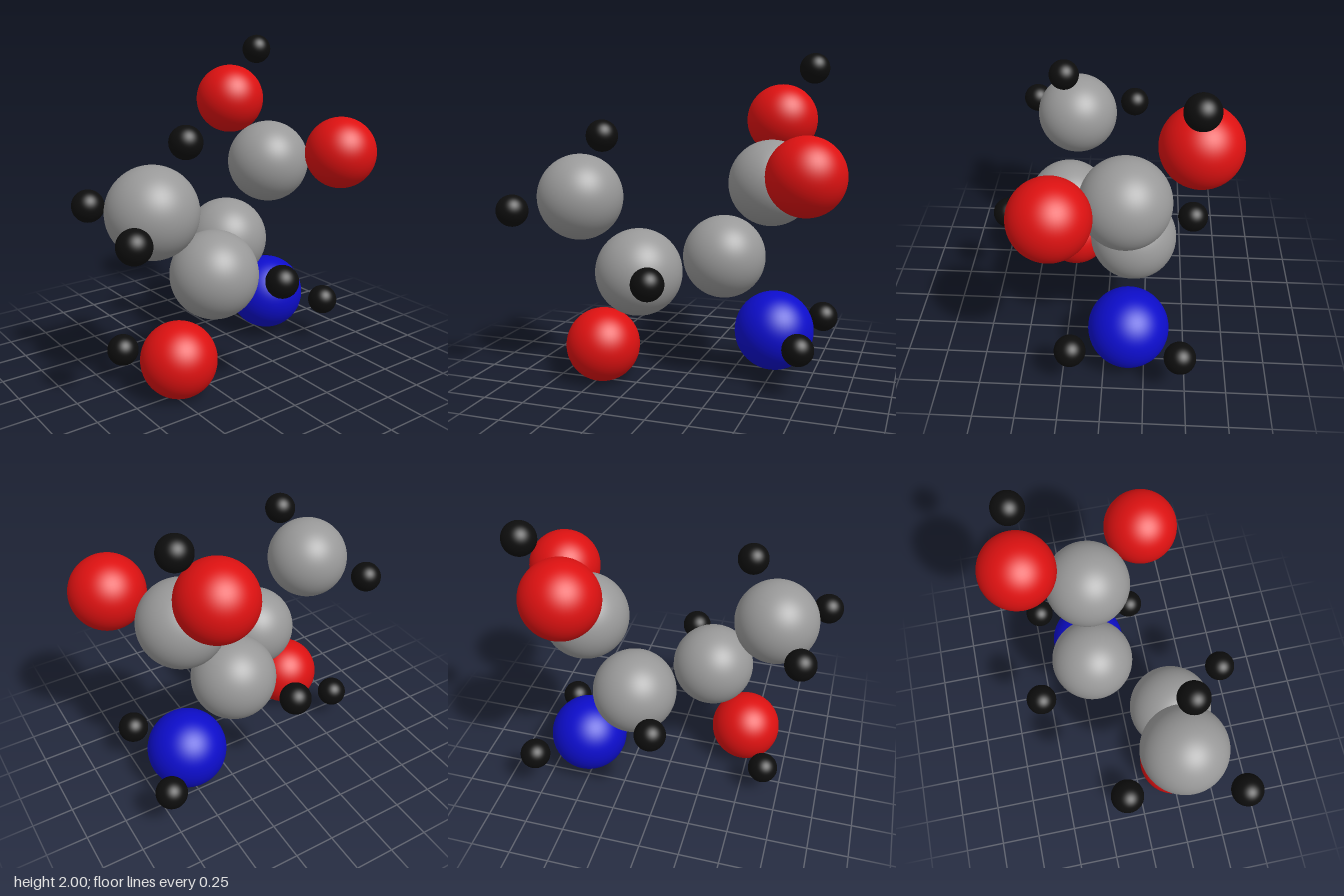
import * as THREE from 'three';

// Ball types: radius and colour
const TYPES = {
  carbon: { radius: 0.26, color: 0x999999 },
  oxygen: { radius: 0.225, color: 0xdd1111 },
  nitrogen: { radius: 0.245, color: 0x0d0dcc },
  hydrogen: { radius: 0.094, color: 0x0d0d0d },
};

// Ball centres, by type
const ATOMS = {
  carbon: {
    methylCarbon: [-0.61, 1.135, 0.235],
    betaCarbon: [-0.22, 0.705, 0.265],
    alphaCarbon: [0.185, 0.74, -0.165],
    carboxylCarbon: [0.49, 1.22, -0.12],
  },
  oxygen: {
    hydroxylOxygen: [-0.465, 0.23, 0.255],
    acidOxygen: [0.47, 1.585, -0.51],
    carbonylOxygen: [0.765, 1.305, 0.265],
  },
  nitrogen: {
    amineNitrogen: [0.515, 0.295, -0.15],
  },
  hydrogen: {
    acidHydrogen: [0.675, 1.907, -0.485],
    methylHydrogenTop: [-0.43, 1.51, 0.3],
    methylHydrogenFront: [-0.9, 1.08, 0.54],
    methylHydrogenBack: [-0.805, 1.12, -0.14],
    hydroxylHydrogen: [-0.642, 0.205, -0.09],
    betaHydrogen: [-0.022, 0.73, 0.638],
    alphaHydrogen: [-0.02, 0.745, -0.535],
    amineHydrogenFront: [0.727, 0.295, 0.19],
    amineHydrogenBack: [0.772, 0.32, -0.457],
  },
};

export function createModel() {
  const model = new THREE.Group();
  model.name = 'molecule';

  for (const [type, { radius, color }] of Object.entries(TYPES)) {
    // One shared sphere and material per ball type
    const geometry = new THREE.SphereGeometry(radius, 64, 40);
    const material = new THREE.MeshStandardMaterial({ color });
    for (const [name, centre] of Object.entries(ATOMS[type])) {
      const ball = new THREE.Mesh(geometry, material);
      ball.name = name;
      ball.position.set(...centre);
      model.add(ball);
    }
  }
  return model;
}
